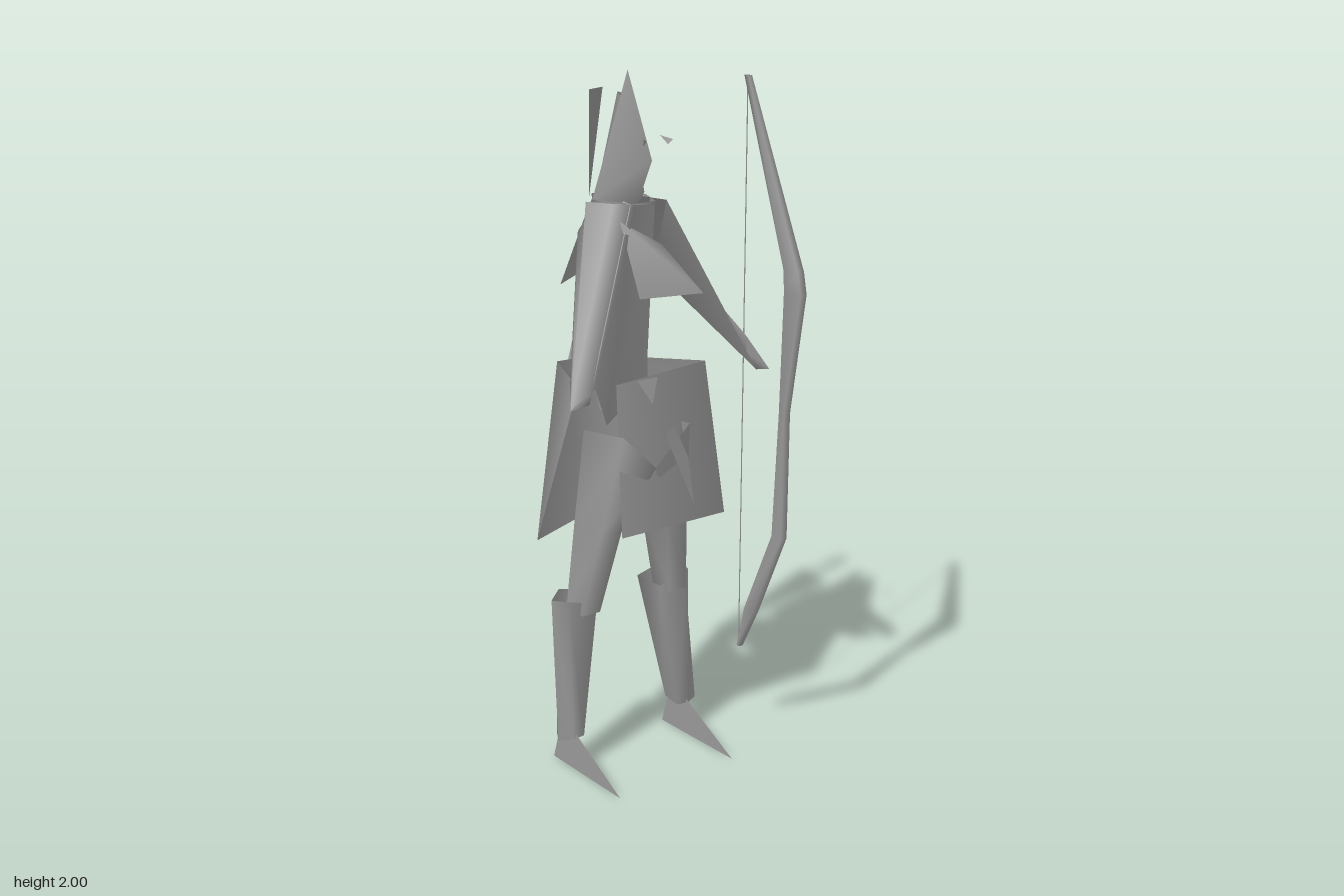
import * as THREE from 'three';

const grey = new THREE.MeshStandardMaterial({ color: 0x999999, side: THREE.DoubleSide });
grey.name = 'plain grey';

function mesh(name, points, index) {
  const g = new THREE.BufferGeometry();
  g.setAttribute('position', new THREE.Float32BufferAttribute(points.flat(), 3));
  g.setIndex(index);
  g.computeVertexNormals();
  const m = new THREE.Mesh(g, grey);
  m.name = name;
  return m;
}

// Flat sheet: a fan of triangles around the first corner
function sheet(name, points) {
  const index = [];
  for (let i = 1; i < points.length - 1; i++) index.push(0, i, i + 1);
  return mesh(name, points, index);
}

// Skin stretched over rings of equal point count
function loft(name, rings, closed = true) {
  const n = rings[0].length, index = [];
  for (let r = 0; r < rings.length - 1; r++) {
    for (let i = 0; i < (closed ? n : n - 1); i++) {
      const a = r * n + i, b = r * n + (i + 1) % n;
      index.push(a, b, a + n, b, b + n, a + n);
    }
  }
  return mesh(name, rings.flat(), index);
}

// Horizontal elliptical ring
function ring(x, y, z, rx, rz, n = 6) {
  return Array.from({ length: n }, (_, i) => {
    const a = (i + 0.5) / n * Math.PI * 2;
    return [x + Math.sin(a) * rx, y, z + Math.cos(a) * rz];
  });
}

// Thin rod between two points
function rod(name, a, b, radius) {
  const p = new THREE.Vector3(...a), q = new THREE.Vector3(...b);
  const m = new THREE.Mesh(new THREE.CylinderGeometry(radius, radius, p.distanceTo(q), 4), grey);
  m.position.copy(p).add(q).multiplyScalar(0.5);
  m.quaternion.setFromUnitVectors(new THREE.Vector3(0, 1, 0), q.sub(p).normalize());
  m.name = name;
  return m;
}

export function createModel() {
  const model = new THREE.Group();
  model.name = 'hooded archer';
  const add = (...parts) => model.add(...parts);

  // Pointed hood with a jutting front fold and a plate behind it
  const tip = [-0.033, 2, 0.01];
  add(loft('hood', [
    Array(4).fill(tip),
    [[-0.07, 1.8, -0.03], [-0.02, 1.77, 0.1], [0.025, 1.8, -0.03], [-0.015, 1.8, -0.06]],
    [[-0.1, 1.65, -0.06], [-0.02, 1.64, 0.035], [0.075, 1.65, -0.06], [-0.01, 1.65, -0.09]],
  ]));
  add(loft('hoodBack', [
    [[-0.02, 1.92, -0.03], [0, 1.93, -0.08], [0.025, 1.92, -0.06]],
    [[-0.1, 1.65, -0.05], [-0.01, 1.65, -0.105], [0.08, 1.65, -0.065]],
  ], false));
  add(sheet('rightEye', [[-0.055, 1.83, 0.11], [-0.03, 1.82, 0.09], [-0.05, 1.81, 0.1]]));
  add(sheet('leftEye', [[0.025, 1.83, 0.075], [0.05, 1.82, 0.1], [0.025, 1.81, 0.11]]));
  add(sheet('feather', [[0.02, 1.93, -0.175], [-0.04, 1.93, -0.155], [0.05, 1.6, -0.285]]));

  // Torso, open at the neck and narrowing to the waist
  add(loft('torso', [
    ring(-0.01, 1.65, -0.04, 0.075, 0.11),
    ring(-0.005, 1.5, -0.06, 0.072, 0.09),
    ring(0, 1.05, -0.065, 0.07, 0.085),
  ]));

  // Scarf: a folded front with one long point and a tail at the back
  add(mesh('scarf', [
    [-0.1, 1.61, 0.065], [-0.06, 1.4, 0.1], [0.043, 1.43, 0.243],
    [0.1, 1.43, -0.09], [0.045, 1.53, 0.06],
  ], [0, 1, 2, 0, 2, 4, 4, 2, 3]));
  add(sheet('scarfTail', [
    [-0.04, 1.64, -0.14], [-0.12, 1.6, -0.07], [-0.155, 1.41, -0.135], [-0.08, 1.43, -0.15],
  ]));

  // Sleeves and hands
  for (const s of [-1, 1]) {
    const side = s < 0 ? 'right' : 'left';
    const at = ([x, y, z]) => [s * x, y, z];
    const shoulder = [[0.06, 1.65, 0.06], [0.005, 1.65, -0.142], [0.12, 1.56, -0.1], [0.085, 1.44, -0.03]];
    const wrist = [[0.262, 1.215, 0.165], [0.295, 1.25, 0.12], [0.32, 1.2, 0.14], [0.285, 1.165, 0.18]];
    add(loft(side + 'Sleeve', [shoulder.map(at), wrist.map(at)]));
    add(loft(side + 'Hand', [wrist.map(at), Array(4).fill(at([0.34, 1.155, 0.172]))]));
  }

  // Cloak draped over the right arm and tucked into the skirt
  add(loft('cloak', [
    [[-0.1, 1.64, -0.09], [-0.09, 1.65, 0.02], [-0.05, 1.65, 0.065], [0.02, 1.64, 0.06]],
    [[-0.34, 1.16, 0.172], [-0.26, 1.2, 0.172], [-0.12, 1.04, 0.03], [0.03, 1.13, 0.01]],
  ], false));

  // Skirt, open beside the right thigh
  const waist = [[-0.21, 0.02], [-0.1, -0.235], [0.03, -0.225], [0.24, 0.01], [-0.11, 0.06]];
  const hem = [[-0.315, -0.03], [-0.06, -0.136], [0.19, -0.24], [0.243, 0.1], [-0.12, 0.1]];
  add(loft('skirt', [
    waist.map(([x, z]) => [x, 1.16, z]),
    hem.map(([x, z]) => [x, 0.73, z]),
  ], false));
  add(sheet('buckle', [[-0.04, 1.16, 0.062], [0, 1.09, 0.08], [0.03, 1.16, 0.062]]));
  add(sheet('dagger', [[0.03, 1, 0.1], [0.125, 0.78, 0.11], [0.11, 0.92, 0.1], [0.055, 1.03, 0.105]]));

  // Legs, boots and flat pointed feet
  for (const s of [-1, 1]) {
    const side = s < 0 ? 'right' : 'left';
    const at = ([x, y, z]) => [s * x, y, z];
    add(loft(side + 'Leg', [
      [[0.115, 1.02, 0.1], [0, 0.91, 0.095], [0.01, 0.95, -0.07], [0.12, 1, -0.08]],
      [[0.15, 0.73, 0.045], [0.08, 0.73, 0.045], [0.08, 0.73, -0.08], [0.155, 0.73, -0.08]],
      [[0.185, 0.48, 0], [0.125, 0.48, 0], [0.125, 0.48, -0.08], [0.185, 0.48, -0.08]],
    ].map((r) => r.map(at))));
    const lean = s < 0 ? 0.025 : 0;
    add(loft(side + 'Boot', [
      [[0.1 + lean, 0.5, -0.015], [0.2 + lean, 0.53, -0.01], [0.225 + lean, 0.525, -0.06],
        [0.19, 0.53, -0.11], [0.075 + lean, 0.515, -0.09]],
      [[0.17, 0.1, -0.02], [0.21, 0.1, -0.015], [0.25, 0.1, -0.035],
        [0.23, 0.105, -0.07], [0.157, 0.12, -0.06]],
    ].map((r) => r.map(at))));
    add(sheet(side + 'Foot', [[0.203, 0, 0.2], [0.2, 0, -0.13], [0.2, 0.15, -0.085]].map(at)));
  }

  // Bow: height, inner z, outer z, half width
  add(loft('bow', [
    [1.965, 0.072, 0.09, 0.006], [1.46, 0.255, 0.315, 0.011], [1.4, 0.26, 0.328, 0.011],
    [1.05, 0.25, 0.272, 0.011], [0.68, 0.23, 0.27, 0.011], [0.42, 0.115, 0.155, 0.011],
    [0.29, 0.078, 0.092, 0.006],
  ].map(([y, a, b, w]) => [
    [0.322 - w, y, b], [0.322 + w, y, b], [0.322 + w, y, a], [0.322 - w, y, a],
  ])));
  add(rod('bowString', [0.322, 1.96, 0.08], [0.322, 0.3, 0.08], 0.002));

  // Quiver and arrows
  add(sheet('quiver', [[0.105, 1.61, -0.18], [0.13, 1.6, -0.325], [-0.08, 1.08, -0.24]]));
  for (const [x, z] of [[0.105, -0.28], [0.148, -0.275], [0.125, -0.245]]) {
    const top = [x + 0.05, 1.775, z];
    add(rod('arrowShaft', [x - 0.02, 1.58, z], top, 0.003));
    for (const [dx, dz] of [[0.013, 0], [0, 0.012]]) {
      add(sheet('arrowFletching', [
        [top[0] - dx, 1.775, z - dz], [top[0] + dx, 1.775, z + dz], [x + 0.03, 1.69, z],
      ]));
    }
  }
  return model;
}
